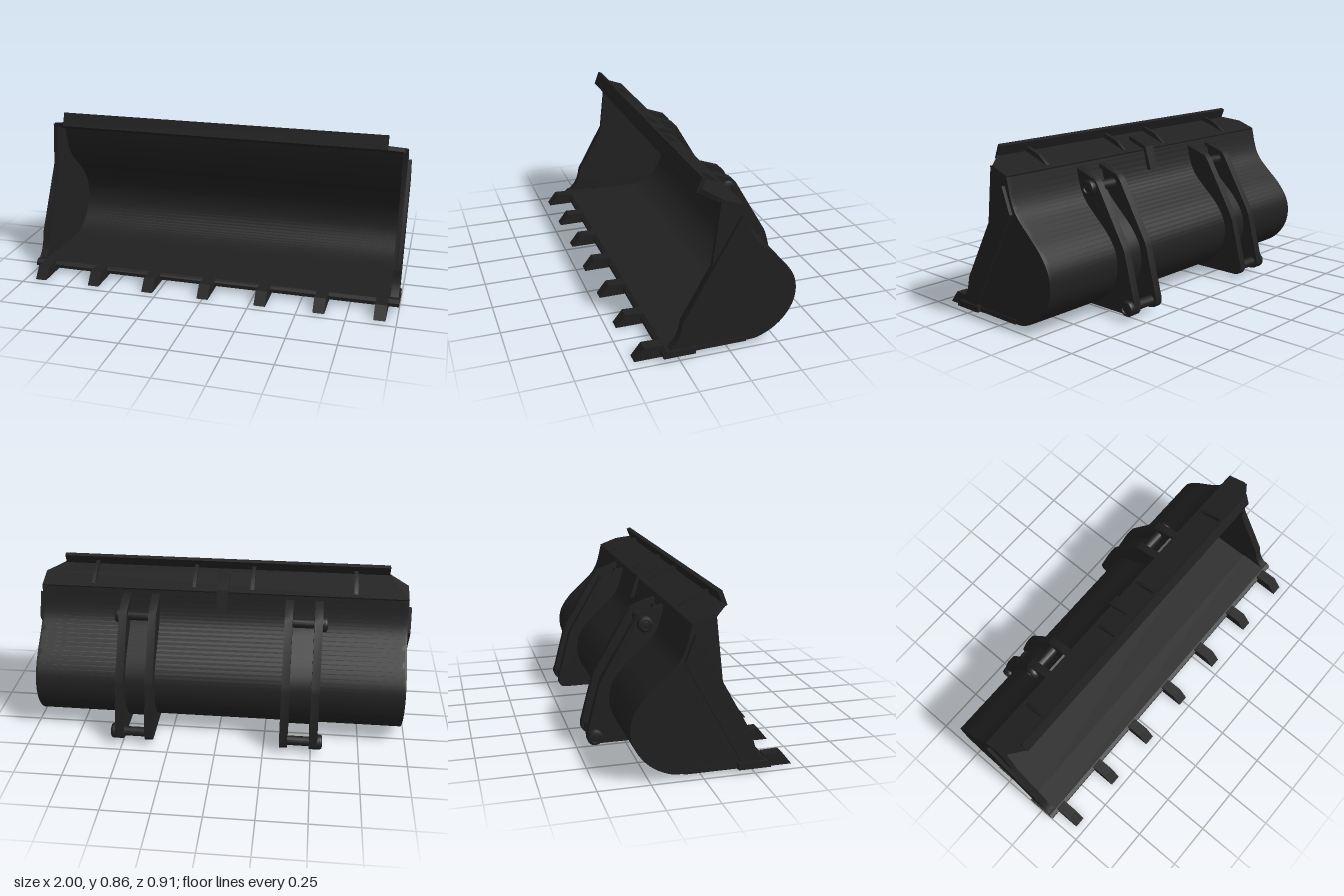
import * as THREE from 'three';
import { toCreasedNormals } from 'three/addons/utils/BufferGeometryUtils.js';

const material = new THREE.MeshStandardMaterial({ color: 0x202020 });
const V = (z, y) => new THREE.Vector2(z, y);

function add(parent, name, geometry) {
  const mesh = new THREE.Mesh(toCreasedNormals(geometry, 0.5), material);
  mesh.name = name;
  parent.add(mesh);
  return mesh;
}

// Side profile of [z, y] points (or vectors), extruded across x0..x1
function prism(parent, name, points, x0, x1) {
  const shape = new THREE.Shape(points.map(p => (p.isVector2 ? p : V(...p))));
  const g = new THREE.ExtrudeGeometry(shape, { depth: x1 - x0, bevelEnabled: false });
  g.rotateY(-Math.PI / 2);
  g.translate(x1, 0, 0);
  return add(parent, name, g);
}

// Curved back of the bucket, from the floor up to the top edge
const backCurve = new THREE.SplineCurve([
  [-0.1, 0.025], [-0.15, 0.03], [-0.22, 0.06], [-0.28, 0.11], [-0.325, 0.18], [-0.34, 0.26],
  [-0.322, 0.34], [-0.265, 0.42], [-0.19, 0.49], [-0.12, 0.56], [-0.085, 0.63], [-0.06, 0.73],
].map(p => V(...p)));
const back = backCurve.getPoints(44);

// Points moved sideways from the back curve (positive = into the bucket)
const offsetBack = d => back.map((p, i) => {
  const t = backCurve.getTangent(0).copy(back[Math.min(i + 1, 44)]).sub(back[Math.max(i - 1, 0)]).normalize();
  return V(p.x + t.y * d, p.y - t.x * d);
}).map((p, i) => (d > 0 && i === 0 ? V(back[0].x, back[0].y + d) : p));

// Hinge bracket: two plates, a web and two capped pins
function hinge(parent, side) {
  const g = new THREE.Group();
  g.name = 'hingeBracket';
  const span = (a, b) => (side > 0 ? [a, b] : [-b, -a]);
  const outline = [
    ...offsetBack(0).slice(0, 44),
    V(-0.085, 0.705), V(-0.185, 0.67), V(-0.205, 0.65), V(-0.375, 0.36), V(-0.387, 0.33),
    V(-0.452, 0.08), V(-0.452, 0.05), V(-0.44, 0.032), V(-0.415, 0.025),
  ];
  prism(g, 'innerHingePlate', outline, ...span(0.335, 0.377));
  prism(g, 'outerHingePlate', outline, ...span(0.49, 0.533));
  const web = [...offsetBack(-0.015).slice(6, 43), ...offsetBack(0.005).slice(6, 43).reverse()];
  prism(g, 'hingeWeb', web, ...span(0.37, 0.495));
  for (const [z, y] of [[-0.16, 0.625], [-0.415, 0.063]]) {
    const rod = new THREE.CylinderGeometry(0.025, 0.025, 0.19, 20);
    rod.rotateZ(Math.PI / 2);
    rod.translate(side * 0.435, y, z);
    add(g, 'hingePin', rod);
    const cap = new THREE.LatheGeometry(
      [[0, 0], [0.04, 0], [0.04, 0.02], [0.035, 0.029], [0.025, 0.032], [0.022, 0.025], [0, 0.025]]
        .map(p => V(...p)), 24);
    cap.rotateZ(-side * Math.PI / 2);
    cap.translate(side * 0.527, y, z);
    add(g, 'pinCap', cap);
  }
  parent.add(g);
}

export function createModel() {
  const model = new THREE.Group();
  model.name = 'loaderBucket';

  // Curved shell with floor
  prism(model, 'shell', [V(0.25, 0.025), ...back, ...offsetBack(0.018).reverse(), V(0.25, 0.043)], -0.965, 0.965);

  // Side plates and raised edge strips
  const frontArc = [[0.297, 0.06], [0.27, 0.088], [0.25, 0.125], [0.24, 0.16], [0.235, 0.19]];
  const sidePlate = [[0.25, 0.025], ...back, [0.0, 0.752], [0.055, 0.772], [0.055, 0.755],
    [0.09, 0.45], ...frontArc.slice().reverse(), [0.297, 0.025]];
  const edgeStrip = [[0.187, 0.053], ...frontArc, [0.09, 0.45], [-0.045, 0.69], [-0.095, 0.56]];
  for (const s of [-1, 1]) {
    const span = (a, b) => (s > 0 ? [a, b] : [-b, -a]);
    prism(model, 'sidePlate', sidePlate, ...span(0.952, 0.975));
    prism(model, 'sideEdgeStrip', edgeStrip, ...span(0.97, 0.993));
    hinge(model, s);
  }

  // Cutting edge and wear plate under the floor
  prism(model, 'cuttingEdge', [[0.17, 0.022], [0.17, 0.055], [0.31, 0.055], [0.328, 0.04], [0.328, 0.022]], -1, 1);
  prism(model, 'wearPlate', [[0.18, 0.023], [-0.09, 0.023], [-0.09, 0.045], [0.18, 0.045]], -0.98, 0.98);

  // Teeth
  const tooth = [[0.455, 0], [0.405, 0.063], [0.315, 0.06], [0.315, 0.03], [0.185, 0.03], [0.185, 0]];
  for (let i = -3; i <= 3; i++) prism(model, 'tooth', tooth, i * 0.305 - 0.03, i * 0.305 + 0.03);

  // Sloping top plate with cut front corners
  const plan = new THREE.Shape([[-0.975, 0], [0.975, 0], [0.975, 0.106], [0.88, 0.19], [-0.88, 0.19], [-0.975, 0.106]]
    .map(p => V(...p)));
  const top = new THREE.ExtrudeGeometry(plan, { depth: 0.022, bevelEnabled: false });
  top.rotateX(THREE.MathUtils.degToRad(70));
  top.translate(0, 0.737, -0.06);
  add(model, 'topPlate', top);

  // Upright spill guard, ribs and centre hook
  prism(model, 'spillGuard', [[0.137, 0.785], [0.11, 0.855], [0.09, 0.847], [0.117, 0.777]], -0.88, 0.88);
  for (const x of [-0.7, -0.155, 0.155, 0.7]) {
    prism(model, 'guardRib', [[0.105, 0.822], [0.02, 0.793], [-0.04, 0.746], [-0.04, 0.735], [0.11, 0.79]], x - 0.01, x + 0.01);
  }
  prism(model, 'centreHook', [[0.05, 0.775], [0.05, 0.797], [0, 0.78], [-0.07, 0.752], [-0.108, 0.635], [-0.088, 0.628], [-0.055, 0.73]],
    -0.03, 0.03);

  return model;
}
